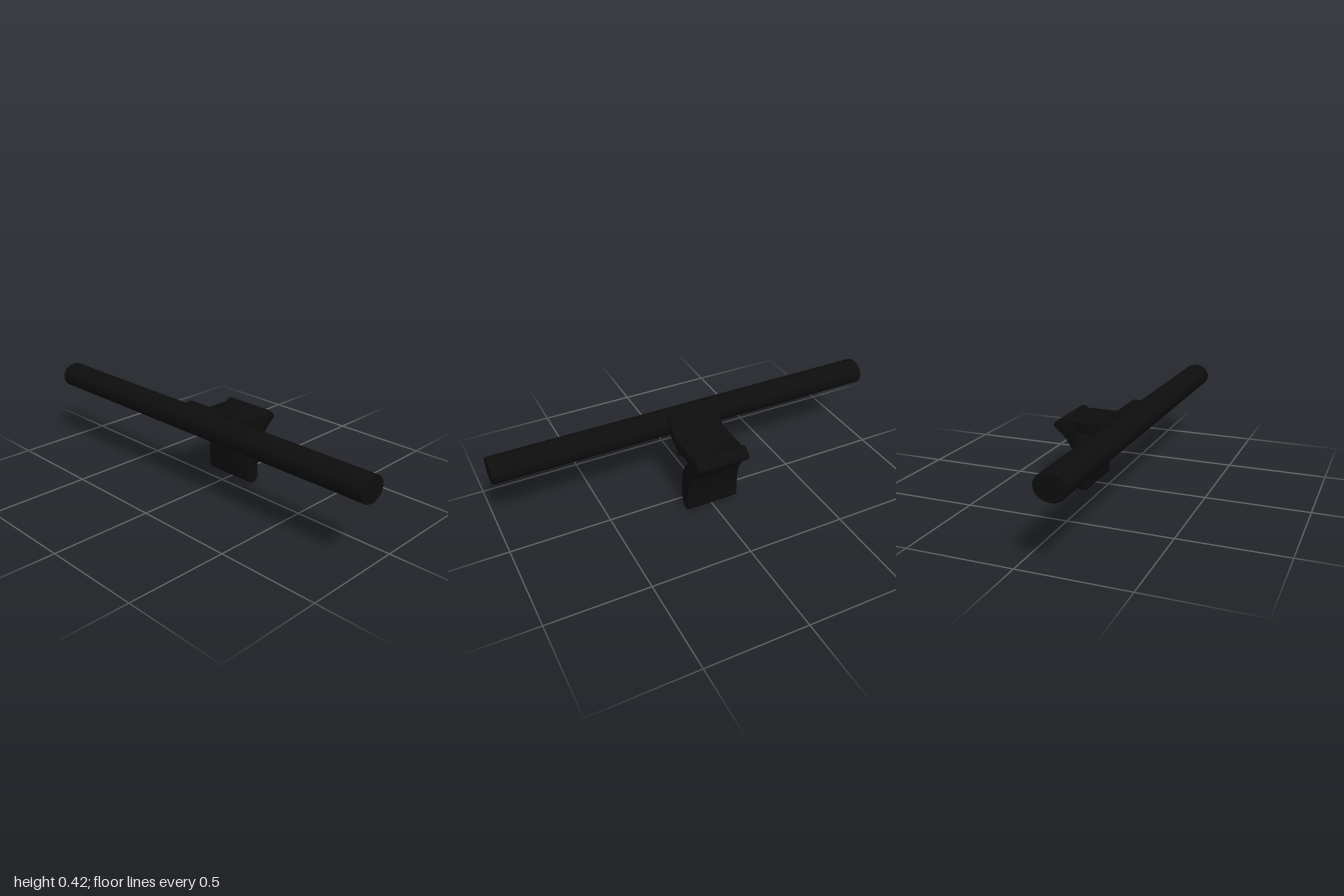
import * as THREE from 'three';
import { toCreasedNormals } from 'three/addons/utils/BufferGeometryUtils.js';

const black = new THREE.MeshStandardMaterial({ color: 0x0d0d0d });
black.name = 'matte black';
const diffuser = new THREE.MeshStandardMaterial({ color: 0xb4b4b4 });
diffuser.name = 'light diffuser';

function addMesh(group, name, geometry, material = black) {
  const mesh = new THREE.Mesh(geometry, material);
  mesh.name = name;
  group.add(mesh);
}

// Extrudes a (z, y) profile across x, centred, with softened edges.
function across(shape, width, bevel = 0.004) {
  const g = new THREE.ExtrudeGeometry(shape, {
    depth: width - 2 * bevel, curveSegments: 16, bevelEnabled: true,
    bevelThickness: bevel, bevelSize: bevel, bevelOffset: -bevel, bevelSegments: 2,
  });
  g.translate(0, 0, bevel - width / 2);
  g.rotateY(-Math.PI / 2);
  return toCreasedNormals(g, 0.6);
}

const polygon = (pts) => new THREE.Shape(pts.map(([z, y]) => new THREE.Vector2(z, y)));

// Oval bar lofted along x: each section is [x, scale, lowest y].
function barGeometry() {
  const half = [[1, 0.95, 0.3], [0.994, 1, 0.3], [0.95, 1, 0.3], [0.93, 1, 0.304], [0.91, 1, 0.311], [0.89, 1, 0.316]];
  const sections = [...half.map(([x, s, f]) => [-x, s, f]), ...half.slice().reverse()];
  const n = 64, pos = [], index = [];
  for (const [x, s, floor] of sections) {
    for (let i = 0; i < n; i++) {
      const a = (i / n) * Math.PI * 2;
      pos.push(x, Math.max(floor, 0.363 + 0.062 * s * Math.sin(a)), 0.163 + 0.072 * s * Math.cos(a));
    }
  }
  const last = (sections.length - 1) * n;
  for (let r = 0; r < last; r += n) {
    for (let i = 0; i < n; i++) {
      const j = (i + 1) % n;
      index.push(r + i, r + n + i, r + j, r + j, r + n + i, r + n + j);
    }
  }
  // End caps
  const c = pos.length / 3;
  pos.push(-1, 0.363, 0.163, 1, 0.363, 0.163);
  for (let i = 0; i < n; i++) {
    const j = (i + 1) % n;
    index.push(c, i, j, c + 1, last + j, last + i);
  }
  const g = new THREE.BufferGeometry();
  g.setAttribute('position', new THREE.Float32BufferAttribute(pos, 3));
  g.setIndex(index);
  // Make the winding face outward
  const [p, q, r] = [0, n, 1].map((k) => new THREE.Vector3().fromArray(pos, (k + 2 * n) * 3));
  const normal = q.sub(p).cross(r.sub(p));
  if (normal.z < 0) {
    for (let i = 0; i < index.length; i += 3) [index[i + 1], index[i + 2]] = [index[i + 2], index[i + 1]];
    g.setIndex(index);
  }
  return toCreasedNormals(g, 0.5);
}

export function createModel() {
  const group = new THREE.Group();
  group.name = 'clipOnLightBar';

  addMesh(group, 'lightBar', barGeometry());

  // Light strip set on the flat underside
  const strip = new THREE.BoxGeometry(1.78, 0.006, 0.078);
  strip.translate(0, 0.3155, 0.163);
  addMesh(group, 'lightStrip', strip, diffuser);

  // Cranked arm from the bar back to the hinge
  addMesh(group, 'arm', across(polygon([
    [0.15, 0.417], [0.086, 0.417], [0.077, 0.412], [0.028, 0.352], [0.022, 0.35],
    [-0.19, 0.35], [-0.19, 0.31], [-0.12, 0.293], [0.022, 0.294], [0.095, 0.338], [0.15, 0.345],
  ]), 0.26));

  // Stop lip under the arm
  const lip = new THREE.Shape();
  lip.moveTo(0, 0.3);
  lip.lineTo(0, 0.268);
  lip.quadraticCurveTo(0, 0.26, 0.01, 0.26);
  lip.quadraticCurveTo(0.02, 0.26, 0.02, 0.268);
  lip.lineTo(0.02, 0.3);
  addMesh(group, 'stopLip', across(lip, 0.25, 0.002));

  // Curved counterweight leg with its rounded foot and hinge head
  const leg = new THREE.Shape();
  leg.moveTo(-0.165, 0.35);
  leg.quadraticCurveTo(-0.184, 0.37, -0.204, 0.354);
  leg.lineTo(-0.225, 0.337);
  leg.quadraticCurveTo(-0.24, 0.321, -0.226, 0.307);
  leg.lineTo(-0.198, 0.286);
  leg.bezierCurveTo(-0.14, 0.235, -0.118, 0.18, -0.118, 0.05);
  leg.quadraticCurveTo(-0.124, 0.04, -0.12, 0.028);
  leg.bezierCurveTo(-0.11, -0.007, -0.062, -0.007, -0.05, 0.028);
  leg.bezierCurveTo(-0.04, 0.11, -0.028, 0.215, -0.115, 0.293);
  leg.lineTo(-0.13, 0.33);
  addMesh(group, 'clampLeg', across(leg, 0.268));

  return group;
}
